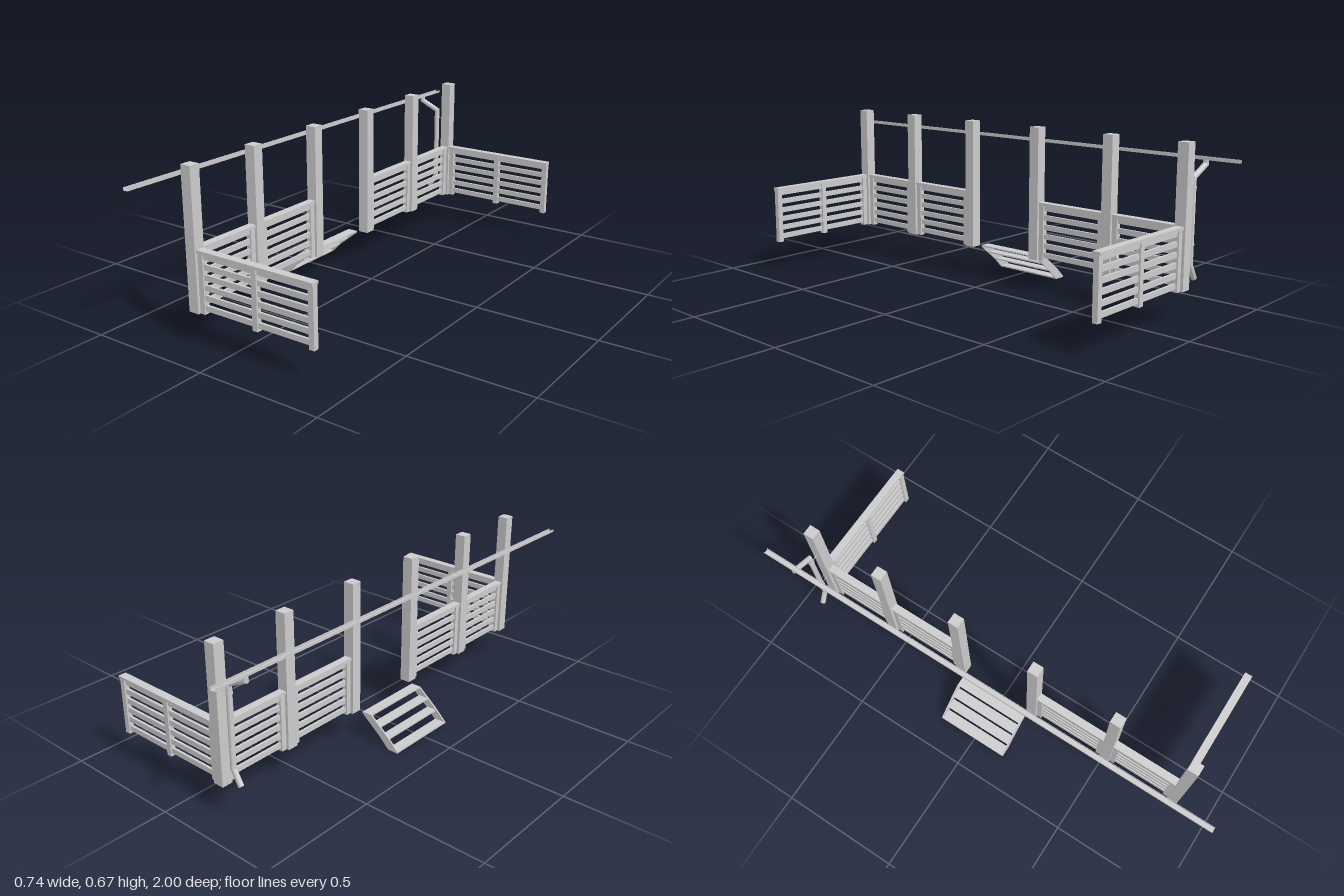
import * as THREE from 'three';
import { toCreasedNormals } from 'three/addons/utils/BufferGeometryUtils.js';

const grey = new THREE.MeshStandardMaterial({ color: 0xcccccc });
const thin = new THREE.MeshStandardMaterial({ color: 0xcccccc, side: THREE.DoubleSide });

const BASE = 0.123, POST = 0.044, SMALL = 0.022;
const POST_X = -0.161, MID_Z = -0.014;

function mesh(name, geometry, parent, material = grey) {
  const m = new THREE.Mesh(geometry, material);
  m.name = name;
  parent.add(m);
  return m;
}

// Box given by its low and high corners
function box(name, parent, [x0, y0, z0], [x1, y1, z1]) {
  const m = mesh(name, new THREE.BoxGeometry(x1 - x0, y1 - y0, z1 - z0), parent);
  m.position.set((x0 + x1) / 2, (y0 + y1) / 2, (z0 + z1) / 2);
  return m;
}

// Railing running along its own +x from the origin
function railing(name, length, uprights) {
  const g = new THREE.Group();
  g.name = name;
  const h = SMALL / 2;
  box('handrail', g, [0, 0.352, -0.016], [length, 0.363, 0.016]);
  for (let i = 0; i < uprights; i++) {
    const x = (length - SMALL) * i / (uprights - 1);
    box('upright', g, [x, BASE, -h], [x + SMALL, 0.352, h]);
  }
  for (let i = 0; i < 6; i++) {
    const y = 0.146 + i * 0.0388;
    box('slat', g, [h, y - 0.0105, -0.005], [length - h, y + 0.0105, 0.005]);
  }
  return g;
}

// Round pipe with mitred bends along points in the xy plane
function pipeGeometry(points, radius, sides = 16) {
  const pos = [], index = [];
  const pts = points.map(([x, y]) => new THREE.Vector2(x, y));
  pts.forEach((p, i) => {
    const a = pts[Math.max(i - 1, 0)], b = pts[Math.min(i + 1, pts.length - 1)];
    const din = (i ? p.clone().sub(a) : b.clone().sub(p)).normalize();
    const dout = (i < pts.length - 1 ? b.clone().sub(p) : din.clone()).normalize();
    const t = din.clone().add(dout).normalize();
    const stretch = radius / t.dot(din);
    for (let j = 0; j < sides; j++) {
      const w = j / sides * Math.PI * 2;
      const c = Math.cos(w) * stretch;
      pos.push(p.x - t.y * c, p.y + t.x * c, Math.sin(w) * radius);
      if (i) {
        const k = (j + 1) % sides, r0 = (i - 1) * sides, r1 = i * sides;
        index.push(r0 + j, r0 + k, r1 + j, r0 + k, r1 + k, r1 + j);
      }
    }
  });
  const g = new THREE.BufferGeometry();
  g.setAttribute('position', new THREE.Float32BufferAttribute(pos, 3));
  g.setIndex(index);
  return toCreasedNormals(g, 0.43);
}

function addSteps(parent) {
  const steps = new THREE.Group();
  steps.name = 'steps';
  parent.add(steps);
  const z0 = -0.169, z1 = 0.143, t = 0.006;
  const side = new THREE.Shape([
    [-0.373, 0], [-0.327, 0], [-0.285, 0.042], [-0.197, 0.113],
    [-0.197, 0.121], [-0.24, 0.121], [-0.327, 0.05], [-0.373, 0.006],
  ].map(([x, y]) => new THREE.Vector2(x, y)));
  const geo = new THREE.ExtrudeGeometry(side, { depth: t, bevelEnabled: false });
  for (const z of [z0, z1 - t]) mesh('stringer', geo, steps).position.z = z;
  // Treads from the ground up
  const edges = [-0.373, -0.327, -0.285, -0.241, -0.197];
  [0.006, 0.047, 0.085, 0.121].forEach((y, i) =>
    box('tread', steps, [edges[i], y - 0.006, z0 + t], [edges[i + 1], y, z1 - t]));
}

function addDrainage(parent, z) {
  // Open gutter channel
  const gutter = new THREE.Group();
  gutter.name = 'gutter';
  parent.add(gutter);
  const e = 0.0012;
  box('gutterFloor', gutter, [-0.312, 0.585, -1], [-0.291, 0.585 + e, 1]);
  box('gutterWall', gutter, [-0.312, 0.585 + e, -1], [-0.312 + e, 0.596, 1]);
  box('gutterWall', gutter, [-0.291 - e, 0.585 + e, -1], [-0.291, 0.596, 1]);

  // Downpipe and its wall brackets
  const path = [[-0.302, 0.586], [-0.302, 0.568], [-0.22, 0.53], [-0.22, 0.206], [-0.253, 0.148]];
  mesh('downpipe', pipeGeometry(path, 0.011), parent, thin).position.z = z;
  for (const y of [0.495, 0.283]) {
    mesh('bracketRing', new THREE.CylinderGeometry(0.013, 0.013, 0.006, 16), parent)
      .position.set(-0.22, y, z);
    box('bracketArm', parent, [-0.209, y - 0.001, z - 0.001], [-0.183, y + 0.001, z + 0.001]);
  }
}

export function createModel() {
  const model = new THREE.Group();
  model.name = 'porchFrame';
  const offsets = [0.176, 0.529, 0.849], h = POST / 2;

  for (const s of [-1, 1]) {
    // Tall posts
    for (const o of offsets) {
      const z = MID_Z + s * o;
      box('post', model, [POST_X - h, BASE, z - h], [POST_X + h, 0.665, z + h]);
    }
    // Railings between posts
    for (let i = 0; i < 2; i++) {
      const r = railing('frontRailing', offsets[i + 1] - offsets[i] - POST, 2);
      r.rotation.y = -s * Math.PI / 2;
      r.position.set(POST_X, 0, MID_Z + s * (offsets[i] + h));
      model.add(r);
    }
    // Railing running back from the corner post
    const r = railing('sideRailing', 0.509, 3);
    r.position.set(POST_X + h, 0, MID_Z + s * offsets[2]);
    model.add(r);
  }

  addSteps(model);
  addDrainage(model, MID_Z - offsets[2]);
  return model;
}
